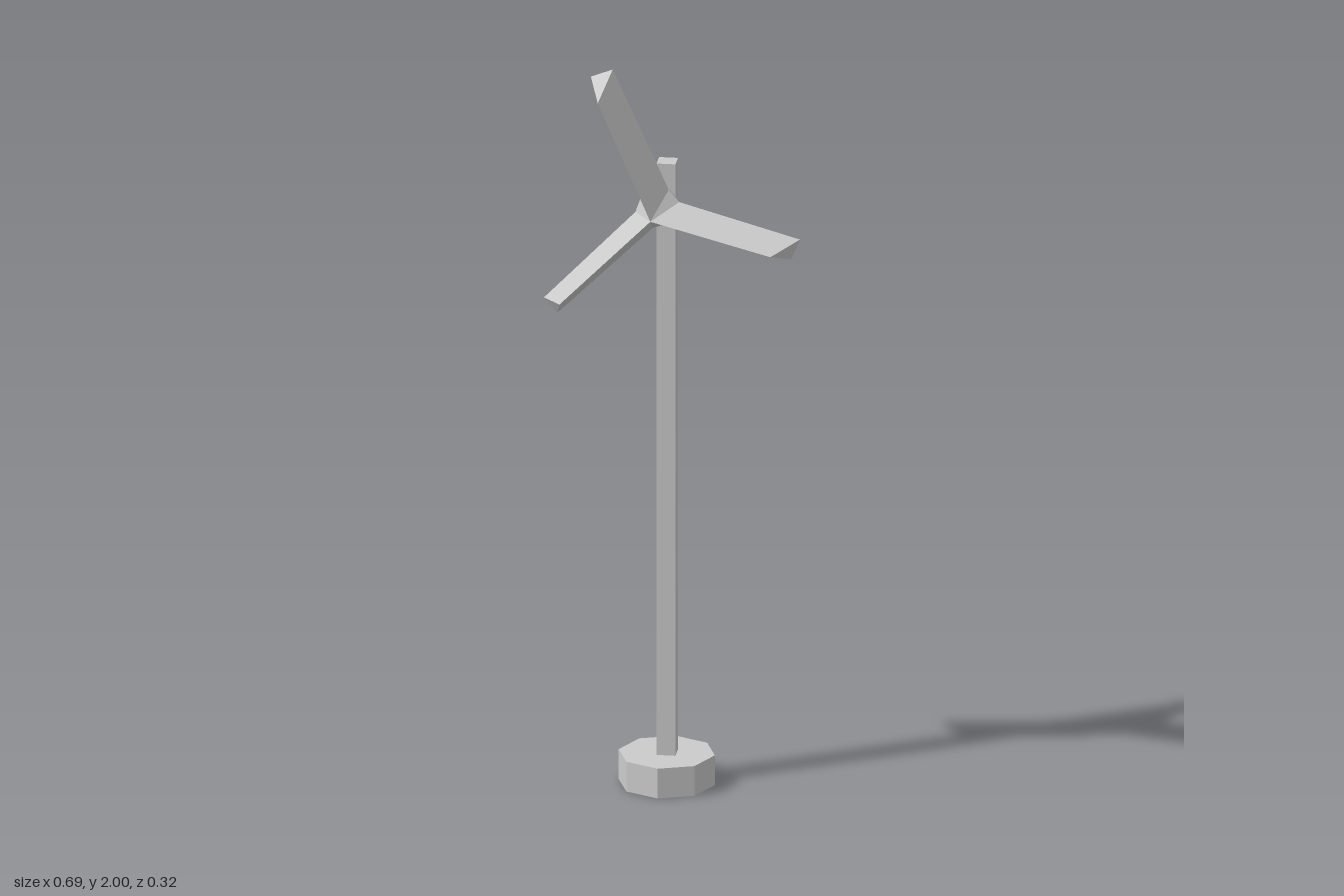
import * as THREE from 'three';

const material = new THREE.MeshStandardMaterial({ color: 0xcccccc, flatShading: true });

function addPart(group, name, geometry, x = 0, y = 0, z = 0) {
  const mesh = new THREE.Mesh(geometry, material);
  mesh.name = name;
  mesh.position.set(x, y, z);
  group.add(mesh);
  return mesh;
}

// Collects flat polygons (corners counter-clockwise from outside) as triangles
function polygonGeometry(polygons) {
  const positions = [];
  for (const p of polygons) {
    for (let i = 1; i < p.length - 1; i++) positions.push(...p[0], ...p[i], ...p[i + 1]);
  }
  const geometry = new THREE.BufferGeometry();
  geometry.setAttribute('position', new THREE.Float32BufferAttribute(positions, 3));
  geometry.computeVertexNormals();
  return geometry;
}

// Blades counter-clockwise: two root corners, two tip corners, tip of the front ridge
const nose = [-0.04, 1.62, 0.138];
const rootPoint = (x, y) => [x, y, 0.037 + 0.058 * x];
const blades = [
  { root: [rootPoint(0, 1.585), rootPoint(0.018, 1.643)],
    tip: [[0.32, 1.51, 0.055], [0.343, 1.567, 0.056]], ridge: [0.283, 1.55, 0.157] },
  { root: [rootPoint(-0.01, 1.675), rootPoint(-0.075, 1.675)],
    tip: [[-0.159, 2.0, 0.037], [-0.217, 1.976, 0.037]], ridge: [-0.18, 1.94, 0.138] },
  { root: [rootPoint(-0.1, 1.605), rootPoint(-0.053, 1.565)],
    tip: [[-0.346, 1.345, 0.016], [-0.31, 1.305, 0.018]], ridge: [-0.286, 1.365, 0.116] },
];

export function createModel() {
  const group = new THREE.Group();
  group.name = 'windTurbine';

  // Octagonal foot and square mast
  addPart(group, 'base', new THREE.CylinderGeometry(0.128, 0.128, 0.083, 8), -0.028, 0.0415, -0.031);
  const mast = addPart(group, 'mast', new THREE.BoxGeometry(0.05, 1.65, 0.05), -0.027, 0.905, -0.032);
  mast.rotation.y = 0.05;

  const rotor = new THREE.Group();
  rotor.name = 'rotor';
  group.add(rotor);

  // Wedge-shaped blades: flat at the back, ridged at the front
  for (const { root: [a, b], tip: [ta, tb], ridge } of blades) {
    addPart(rotor, 'blade', polygonGeometry([
      [nose, a, ta, ridge],
      [nose, ridge, tb, b],
      [ridge, ta, tb],
      [a, b, tb, ta],
    ]));
  }

  // Six-sided hub tapering towards the mast
  const rim = blades.flatMap((blade) => blade.root);
  const back = rim.map(([x, y]) => [-0.042 + (x + 0.042) * 0.74, 1.62 + (y - 1.62) * 0.74, -0.008]);
  const hub = [[...back].reverse()];
  for (let i = 0; i < 6; i++) {
    const j = (i + 1) % 6;
    hub.push([rim[i], back[i], back[j], rim[j]]);
    if (i % 2) hub.push([nose, rim[i], rim[j]]);
  }
  addPart(rotor, 'hub', polygonGeometry(hub));

  return group;
}
